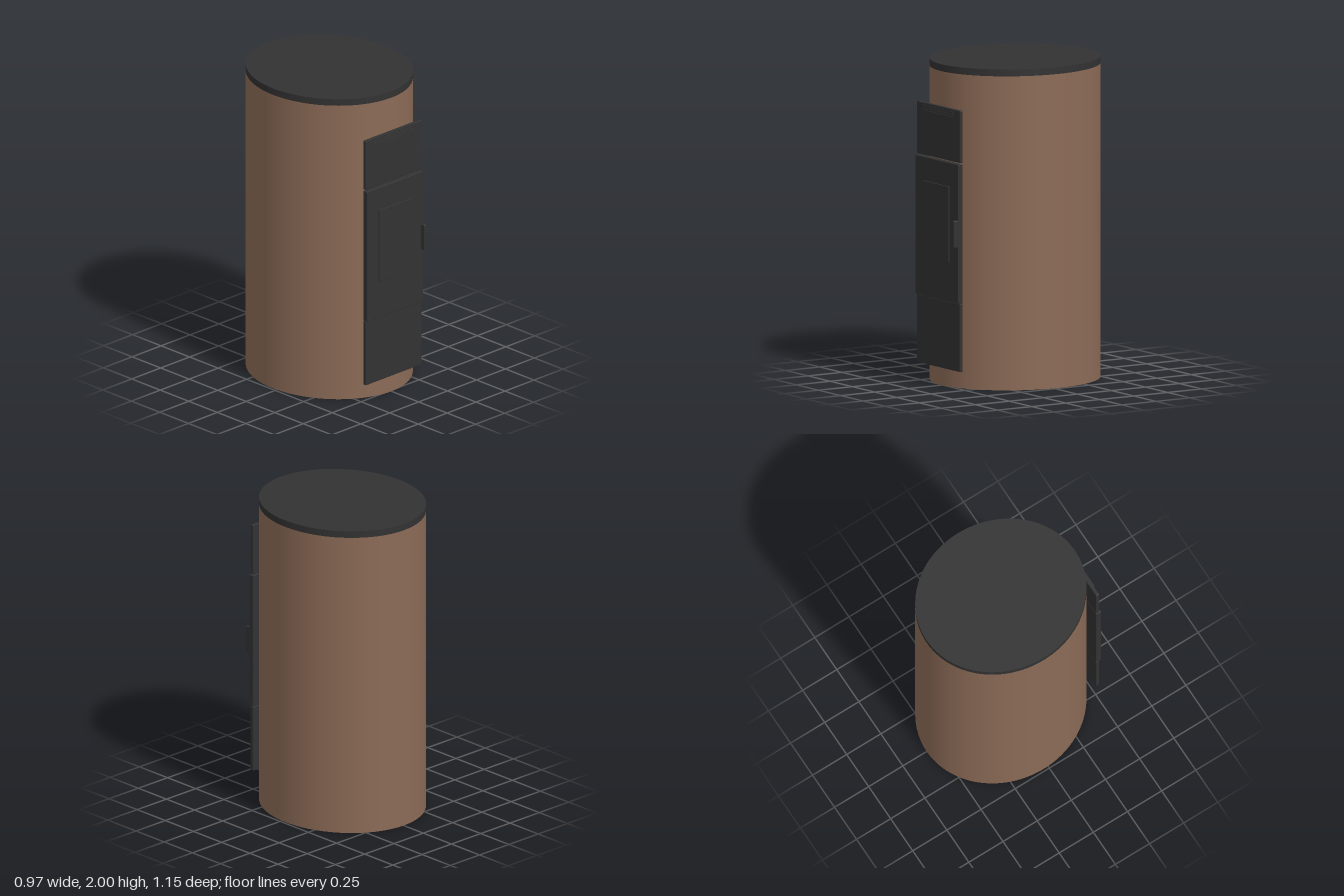
import * as THREE from 'three';
import { RoundedBoxGeometry } from 'three/addons/geometries/RoundedBoxGeometry.js';

export function createModel() {
  const group = new THREE.Group();
  const brown = new THREE.MeshStandardMaterial({ color: 0x8c6b57 });
  brown.name = 'brown casing';
  const black = new THREE.MeshStandardMaterial({ color: 0x323232 });
  black.name = 'black steel';

  const add = (name, geometry, material) => {
    const mesh = new THREE.Mesh(geometry, material);
    mesh.name = name;
    group.add(mesh);
    return mesh;
  };

  // Oval drum between two heights
  const oval = (name, y0, y1, material) => {
    const g = new THREE.CylinderGeometry(1, 1, y1 - y0, 96);
    g.scale(0.486, 1, 0.543);
    g.translate(0, (y0 + y1) / 2, -0.033);
    return add(name, g, material);
  };

  // Softly rounded plate given by its limits
  const plate = (name, [x0, x1], [y0, y1], [z0, z1], radius = 0.004) => {
    const g = new RoundedBoxGeometry(x1 - x0, y1 - y0, z1 - z0, 2, radius);
    g.translate((x0 + x1) / 2, (y0 + y1) / 2, (z0 + z1) / 2);
    return add(name, g, black);
  };

  // Casing and lid
  oval('casing', 0, 1.957, brown);
  oval('lid', 1.957, 2, black);

  // Front panels
  const width = [-0.242, 0.242];
  plate('upperPanel', width, [1.417, 1.742], [0.509, 0.532]);
  plate('door', width, [0.541, 1.408], [0.509, 0.545]);
  plate('lowerPanel', width, [0.115, 0.539], [0.509, 0.533]);

  // Door window and handle
  plate('window', [-0.145, 0.145], [0.785, 1.26], [0.54, 0.553], 0.002);
  plate('handle', [0.222, 0.242], [0.89, 1.06], [0.54, 0.576], 0.006);

  // Vent slats near the top of the upper panel
  for (let i = 0; i < 4; i++) {
    const y = 1.69 + i * 0.015;
    plate('ventSlat', [-0.178, 0.178], [y, y + 0.007], [0.528, 0.537], 0.001);
  }

  return group;
}
